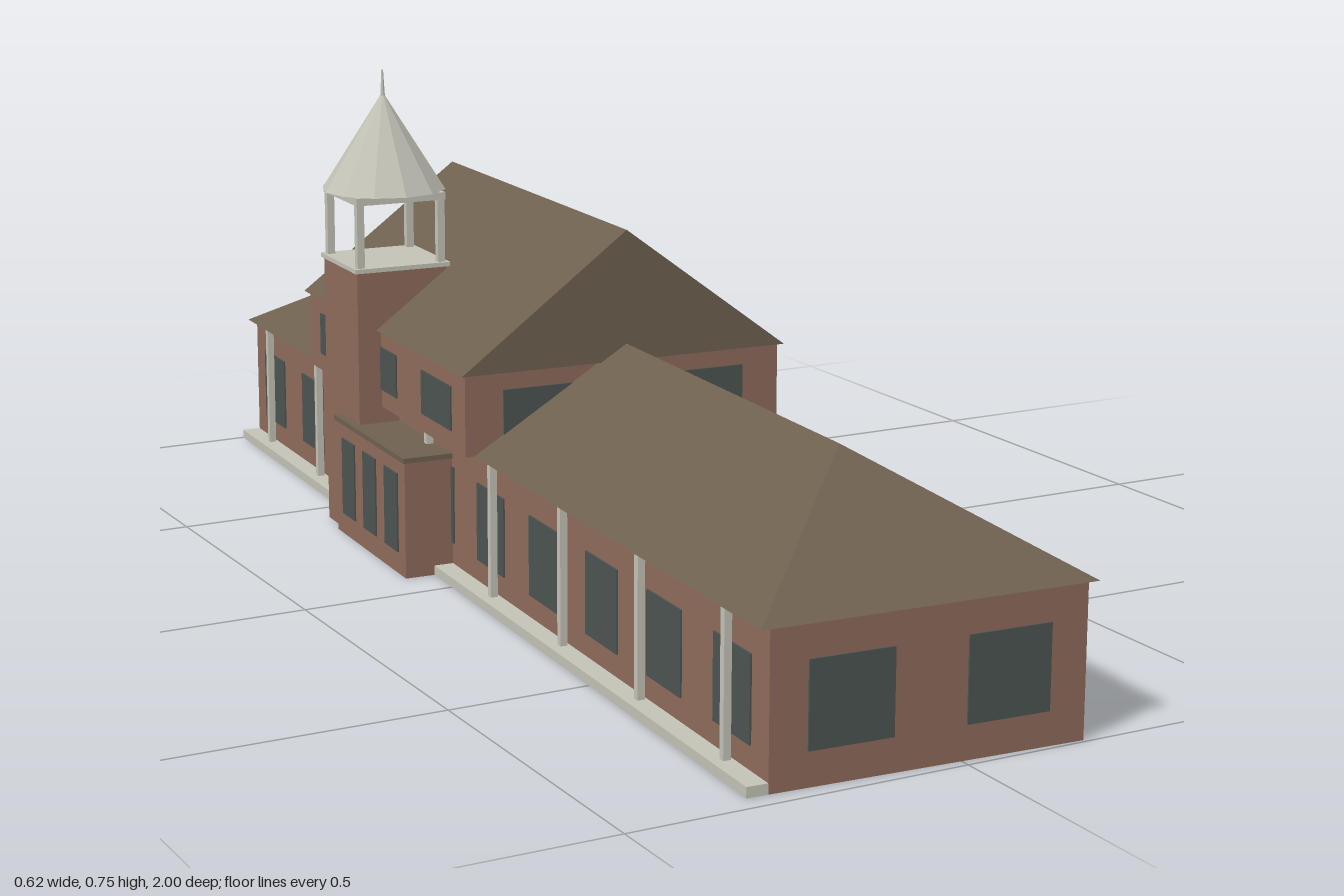
import * as THREE from 'three';
import { ConvexGeometry } from 'three/addons/geometries/ConvexGeometry.js';

const material = (name, color) => {
  const m = new THREE.MeshStandardMaterial({ color });
  m.name = name;
  return m;
};

export function createModel() {
  const brick = material('brick', 0x8e6b5a);
  const shingle = material('roof shingle', 0x6e604f);
  const glass = material('window glass', 0x4b5350);
  const stone = material('pale trim', 0xc3c2b6);
  const facetedStone = stone;
  facetedStone.flatShading = true;

  const model = new THREE.Group();
  model.name = 'schoolhouse';
  const building = new THREE.Group();
  building.name = 'building';
  building.position.x = 0.005;
  building.rotation.y = -0.0534; // the whole plan is turned slightly
  model.add(building);

  const add = (name, geometry, mat, x, y, z) => {
    const mesh = new THREE.Mesh(geometry, mat);
    mesh.name = name;
    mesh.position.set(x, y, z);
    building.add(mesh);
    return mesh;
  };
  // box given by its ranges on each axis
  const box = (name, mat, [x0, x1], [y0, y1], [z0, z1]) =>
    add(name, new THREE.BoxGeometry(x1 - x0, y1 - y0, z1 - z0), mat,
      (x0 + x1) / 2, (y0 + y1) / 2, (z0 + z1) / 2);
  // thin pane set through a wall; facing 'x' for long walls, 'z' for end walls
  const pane = (facing, x, z, width, y0, y1) => {
    const t = 0.009, h = y1 - y0;
    const g = facing === 'x' ? new THREE.BoxGeometry(t, h, width) : new THREE.BoxGeometry(width, h, t);
    add('window', g, glass, x, (y0 + y1) / 2, z);
  };
  // pitched roof: rectangle of eaves below, ridge line along z above
  const roof = (name, w, l, ridge, y0, y1, z) => {
    const points = [];
    for (const s of [-1, 1]) {
      points.push(new THREE.Vector3(-w, y0, s * l), new THREE.Vector3(w, y0, s * l), new THREE.Vector3(0, y1, s * ridge));
    }
    add(name, new ConvexGeometry(points), shingle, 0, 0, z);
  };

  // long ground floor: hollow, open at the bottom
  const W = 0.233, L = 0.984, H = 0.217, T = 0.004;
  for (const s of [-1, 1]) {
    add('longWall', new THREE.BoxGeometry(T, H, 2 * L), brick, s * (W - T / 2), H / 2, 0);
    add('endWall', new THREE.BoxGeometry(2 * W, H, T), brick, 0, H / 2, s * (L - T / 2));
    for (let i = 0; i < 10; i++) pane('x', s * (W - T / 2), (i - 4.5) * 0.1967, 0.103, 0.049, 0.17);
    for (const e of [-1, 1]) pane('z', e * 0.116, s * (L - T / 2), 0.124, 0.049, 0.17);
  }
  roof('mainRoof', 0.248, 0.988, 0.735, H, 0.368, 0);

  // upper storey, gabled front and back
  const UW = 0.262, UL = 0.34, UZ = -0.27;
  box('upperStorey', brick, [-UW, UW], [H, 0.342], [UZ - UL, UZ + UL]);
  for (const s of [-1, 1]) {
    for (const i of [-1, 0, 1]) pane('x', s * (UW - 0.002), UZ + i * 0.227, 0.12, 0.246, 0.315);
    for (const e of [-1, 1]) pane('z', e * 0.131, UZ + s * (UL - 0.002), 0.139, 0.246, 0.315);
  }
  roof('upperRoof', 0.27, 0.347, 0.347, 0.342, 0.543, UZ);

  // porch along the right-hand side
  box('porchFloor', stone, [-0.264, -W], [0, 0.015], [-L, L]);
  for (let i = 0; i < 8; i++) {
    add('porchPost', new THREE.BoxGeometry(0.011, 0.202, 0.011), stone, -0.243, 0.116, (i - 3.5) * 0.2529);
  }

  // entrance block beside the tower
  box('entrance', brick, [-0.311, -W], [0, 0.183], [-0.357, -0.056]);
  box('entranceRoof', shingle, [-0.314, -W], [0.183, 0.191], [-0.36, -0.053]);
  for (const i of [-1, 0, 1]) pane('x', -0.309, -0.2065 + i * 0.094, 0.055, 0.035, 0.16);

  // bell tower with open belfry and conical cap
  const TX = -0.2245, TZ = -0.3535, R = 0.076;
  const square = (name, mat, r, y0, y1) =>
    box(name, mat, [TX - r, TX + r], [y0, y1], [TZ - r, TZ + r]);
  square('tower', brick, R, 0, 0.436);
  square('belfryFloor', stone, 0.08, 0.436, 0.443);
  square('belfryCeiling', stone, 0.075, 0.543, 0.555);
  for (const sx of [-1, 1]) for (const sz of [-1, 1]) {
    add('belfryPost', new THREE.BoxGeometry(0.012, 0.1, 0.012), stone, TX + sx * 0.068, 0.493, TZ + sz * 0.068);
  }
  add('towerCap', new THREE.ConeGeometry(0.099, 0.155, 12), facetedStone, TX, 0.6325, TZ);
  add('spire', new THREE.CylinderGeometry(0.0015, 0.004, 0.042, 8), facetedStone, TX, 0.724, TZ);

  return model;
}
